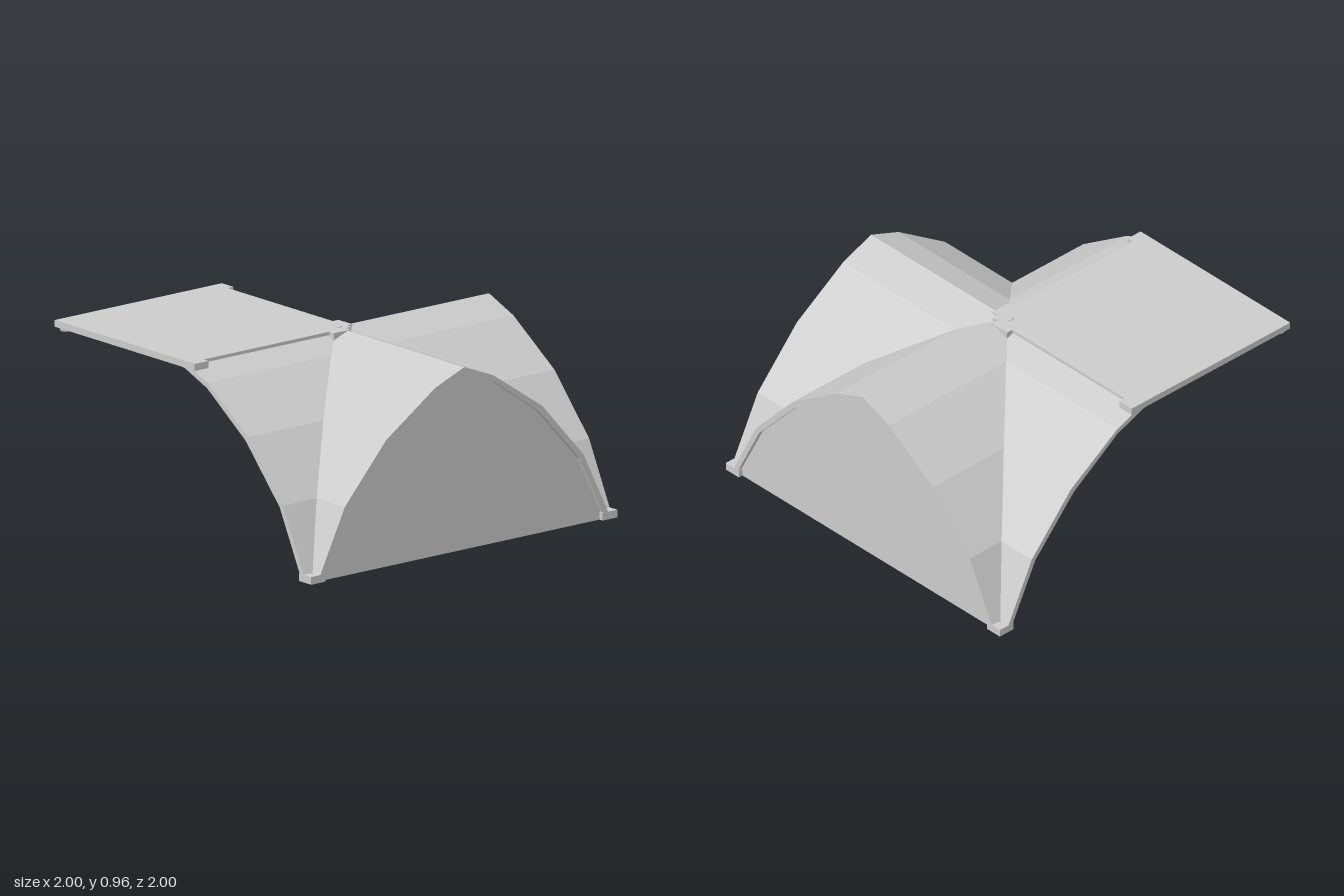
import * as THREE from 'three';

export function createModel() {
  const model = new THREE.Group();
  const solid = new THREE.MeshStandardMaterial({ color: 0xcccccc, flatShading: true });
  const thin = new THREE.MeshStandardMaterial({ color: 0xcccccc, flatShading: true, side: THREE.DoubleSide });

  // Half arch, crown to springing: outer skin and inner rib edge
  const outer = [[0, 0.955], [0.19, 0.88], [0.51, 0.665], [0.78, 0.365], [0.96, 0]];
  const inner = [[0, 0.925], [0.19, 0.85], [0.49, 0.64], [0.755, 0.35], [0.93, 0]];

  function add(parent, name, geometry, material = solid) {
    const mesh = new THREE.Mesh(geometry, material);
    mesh.name = name;
    parent.add(mesh);
    return mesh;
  }
  // Box given by its minimum and maximum corners
  function box(parent, name, [x0, y0, z0], [x1, y1, z1]) {
    const mesh = add(parent, name, new THREE.BoxGeometry(x1 - x0, y1 - y0, z1 - z0));
    mesh.position.set((x0 + x1) / 2, (y0 + y1) / 2, (z0 + z1) / 2);
    return mesh;
  }
  const toShape = (points) => new THREE.Shape(points.map(([x, y]) => new THREE.Vector2(x, y)));

  // Two faceted webs meeting along the diagonal groin
  function websGeometry() {
    const positions = [];
    const quad = (a, b, c, d) => positions.push(...a, ...b, ...c, ...a, ...c, ...d);
    for (let i = 0; i < outer.length - 1; i++) {
      const [s, h] = outer[i], [t, k] = outer[i + 1];
      quad([s, h, s], [s, h, 1], [t, k, 1], [t, k, t]);
      quad([t, k, t], [1, k, t], [1, h, s], [s, h, s]);
    }
    const geometry = new THREE.BufferGeometry();
    geometry.setAttribute('position', new THREE.Float32BufferAttribute(positions, 3));
    geometry.computeVertexNormals();
    return geometry;
  }
  const webs = websGeometry();
  const rib = new THREE.ExtrudeGeometry(toShape([...outer, ...[...inner].reverse()]), { depth: 0.045, bevelEnabled: false });

  // Three vaulted quarters
  for (let i = 0; i < 3; i++) {
    const quarter = new THREE.Group();
    quarter.name = 'vaultQuarter';
    quarter.rotation.y = i * Math.PI / 2;
    add(quarter, 'vaultWebs', webs, thin);
    add(quarter, 'edgeRib', rib).position.z = 0.955;
    const sideRib = add(quarter, 'edgeRib', rib);
    sideRib.rotation.y = -Math.PI / 2;
    sideRib.position.x = 1;
    // L-shaped foot
    box(quarter, 'foot', [0.905, 0, 0.955], [1, 0.04, 1]);
    box(quarter, 'foot', [0.955, 0, 0.905], [1, 0.04, 0.955]);
    model.add(quarter);
  }

  // Infill walls under the two complete arches
  const wallGeometry = new THREE.ShapeGeometry(toShape([...inner, ...inner.slice(1).reverse().map(([x, y]) => [-x, y])]));
  for (const angle of [Math.PI / 2, Math.PI]) {
    const holder = new THREE.Group();
    holder.name = 'archWall';
    holder.rotation.y = angle;
    add(holder, 'wallPanel', wallGeometry, thin).position.z = 0.975;
    model.add(holder);
  }

  // Flat roof over the remaining quarter, with a frame beneath
  box(model, 'flatRoof', [-1, 0.94, -0.055], [0.055, 0.957, 1]);
  box(model, 'roofFrame', [-1, 0.922, -0.05], [-0.955, 0.94, 1]);
  box(model, 'roofFrame', [-0.955, 0.922, 0.955], [0.05, 0.94, 1]);
  const corner = add(model, 'cornerJoint', new THREE.CylinderGeometry(0.04, 0.03, 0.04, 8));
  corner.position.set(-0.96, 0.925, 0.96);

  // Brackets where the roof meets the vault ridges
  box(model, 'ridgeBracket', [0, 0.92, 0.91], [0.092, 0.957, 1]);
  box(model, 'ridgeBracket', [-1, 0.92, -0.092], [-0.91, 0.957, 0]);
  box(model, 'centreBracket', [0, 0.92, -0.02], [0.092, 0.957, 0.09]);
  box(model, 'centreBracket', [-0.09, 0.92, -0.092], [0.02, 0.957, 0]);

  // Crown hub
  add(model, 'crownHub', new THREE.CylinderGeometry(0.03, 0.045, 0.04, 8)).position.y = 0.942;
  return model;
}
